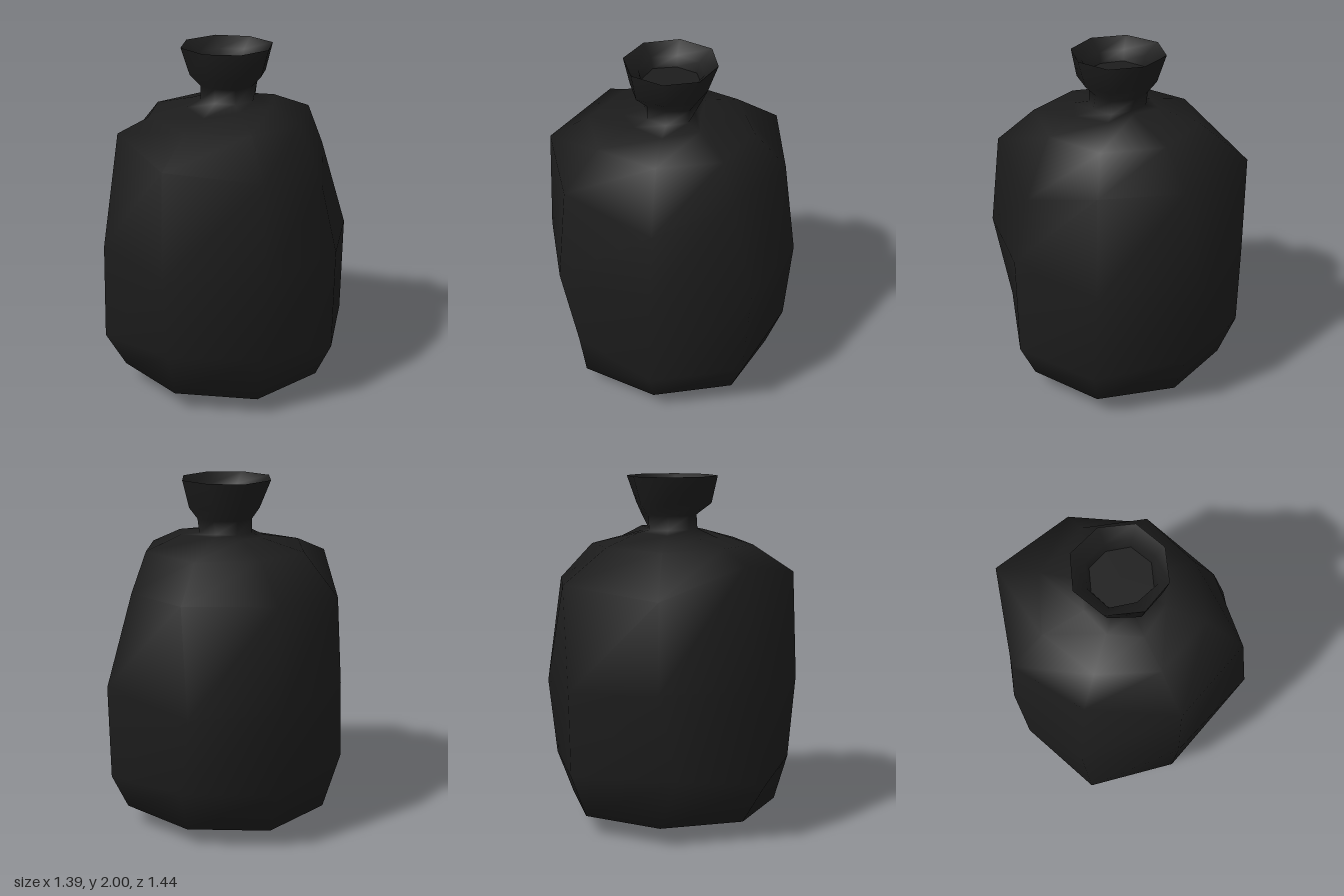
import * as THREE from 'three';

// Joins rings of points (bottom to top, outside facing) into one smooth surface.
function loft(rings, capStart, capEnd) {
  const n = rings[0].length, pos = [], index = [];
  rings.forEach(ring => ring.forEach(p => pos.push(...p)));
  for (let r = 0; r < rings.length - 1; r++) {
    for (let i = 0; i < n; i++) {
      const a = r * n + i, b = r * n + (i + 1) % n;
      index.push(a, b, b + n, a, b + n, a + n);
    }
  }
  const cap = (r, flip) => {
    const c = pos.length / 3, mid = [0, 0, 0];
    rings[r].forEach(p => p.forEach((v, k) => { mid[k] += v / n; }));
    pos.push(...mid);
    for (let i = 0; i < n; i++) {
      const a = r * n + i, b = r * n + (i + 1) % n;
      if (flip) index.push(c, b, a); else index.push(c, a, b);
    }
  };
  if (capStart) cap(0, true);
  if (capEnd) cap(rings.length - 1, false);
  const g = new THREE.BufferGeometry();
  g.setAttribute('position', new THREE.Float32BufferAttribute(pos, 3));
  g.setIndex(index);
  g.computeVertexNormals();
  return g;
}

// Point at [radius, height, twist in degrees] in one of eight directions, from +x round to -z, -x and +z.
const at = (i, [r, y, twist = 0]) => {
  const a = i * Math.PI / 4 + THREE.MathUtils.degToRad(twist);
  return [r * Math.cos(a), y, -r * Math.sin(a)];
};

const ring = (y, radii) => radii.map((r, i) => at(i, [r, y]));

export function createModel() {
  const model = new THREE.Group();
  const plastic = new THREE.MeshStandardMaterial({ name: 'black plastic', color: 0x1c1c1c });
  const paper = new THREE.MeshStandardMaterial({ name: 'white paper', color: 0xf0f0f0, side: THREE.DoubleSide });
  const red = new THREE.MeshStandardMaterial({ name: 'dark red card', color: 0x541c17, side: THREE.DoubleSide });

  const add = (name, geometry, material, x = 0, y = 0, z = 0) => {
    const mesh = new THREE.Mesh(geometry, material);
    mesh.name = name;
    mesh.position.set(x, y, z);
    model.add(mesh);
  };

  // Sagging sack: eight uneven profiles, each from the base up to the tied neck
  const profiles = [
    [[0.37, 0.05], [0.59, 0.11], [0.685, 0.31], [0.695, 0.90], [0.60, 1.27], [0.45, 1.61], [0.28, 1.69]],
    [[0.38, 0.05], [0.62, 0.12], [0.715, 0.32], [0.735, 0.87, 2], [0.57, 1.39], [0.48, 1.62], [0.27, 1.70]],
    [[0.37, 0.05], [0.59, 0.11], [0.685, 0.36], [0.722, 0.81, 5], [0.645, 1.41], [0.46, 1.61], [0.16, 1.69]],
    [[0.38, 0.05], [0.62, 0.11], [0.72, 0.36], [0.73, 0.83], [0.737, 1.43, -2], [0.46, 1.62], [0.23, 1.69]],
    [[0.39, 0.05], [0.61, 0.11], [0.69, 0.40, 8], [0.70, 0.88], [0.67, 1.37], [0.47, 1.61], [0.22, 1.675]],
    [[0.39, 0.05], [0.63, 0.11], [0.755, 0.34, 4], [0.735, 0.87], [0.635, 1.54], [0.46, 1.62], [0.24, 1.66]],
    [[0.39, 0.05], [0.61, 0.11], [0.685, 0.37], [0.725, 0.85], [0.70, 1.46], [0.47, 1.61], [0.27, 1.645]],
    [[0.38, 0.05], [0.62, 0.11], [0.66, 0.37], [0.76, 0.89], [0.70, 1.42], [0.48, 1.62], [0.25, 1.68]],
  ];
  const sackRings = profiles[0].map((_, r) => profiles.map((p, i) => at(i, p[r])));

  // Pinched neck and flared mouth continue the sack
  const rim = ring(2.0, [0.255, 0.26, 0.255, 0.27, 0.27, 0.27, 0.265, 0.26]);
  const neckRings = [
    ring(1.70, [0.16, 0.16, 0.13, 0.16, 0.16, 0.16, 0.15, 0.16]),
    ring(1.78, [0.147, 0.17, 0.17, 0.17, 0.16, 0.16, 0.145, 0.16]),
    ring(1.845, [0.21, 0.22, 0.20, 0.22, 0.205, 0.22, 0.23, 0.23]),
    rim,
  ];
  add('sack', loft([...sackRings, ...neckRings], true, false), plastic);

  // Inside of the mouth, and its gathered floor
  const floorRing = ring(1.88, [0.18, 0.18, 0.165, 0.17, 0.17, 0.18, 0.165, 0.18]);
  add('mouthInside', loft([rim, ring(1.94, [0.20, 0.20, 0.18, 0.19, 0.19, 0.20, 0.18, 0.20]), floorRing], false, false), plastic);
  add('mouthFloor', loft([floorRing], false, true), plastic);

  // Litter under the sack: a white sheet, a red card with a strip across it
  add('whiteSheet', new THREE.BoxGeometry(0.29, 0.006, 0.29), paper, 0, 0.045, 0.005);
  add('redCard', new THREE.BoxGeometry(0.26, 0.006, 0.26), red, 0, 0.041, 0.005);
  add('redStrip', new THREE.BoxGeometry(0.44, 0.008, 0.03), red, -0.01, 0.037, 0);

  // Folded white paper, a flat-sided wedge that hangs lowest on the -x side
  const outline = [[0.09, 0.12], [-0.02, -0.13], [-0.10, -0.13], [-0.16, 0], [-0.16, 0.10], [-0.06, 0.16]];
  const wedge = loft([
    outline.map(([x, z]) => [x, 0.13 * (x + 0.16), z]),
    outline.map(([x, z]) => [x, 0.038, z]),
  ], true, true).toNonIndexed();
  wedge.computeVertexNormals();
  add('foldedPaper', wedge, paper);

  return model;
}
